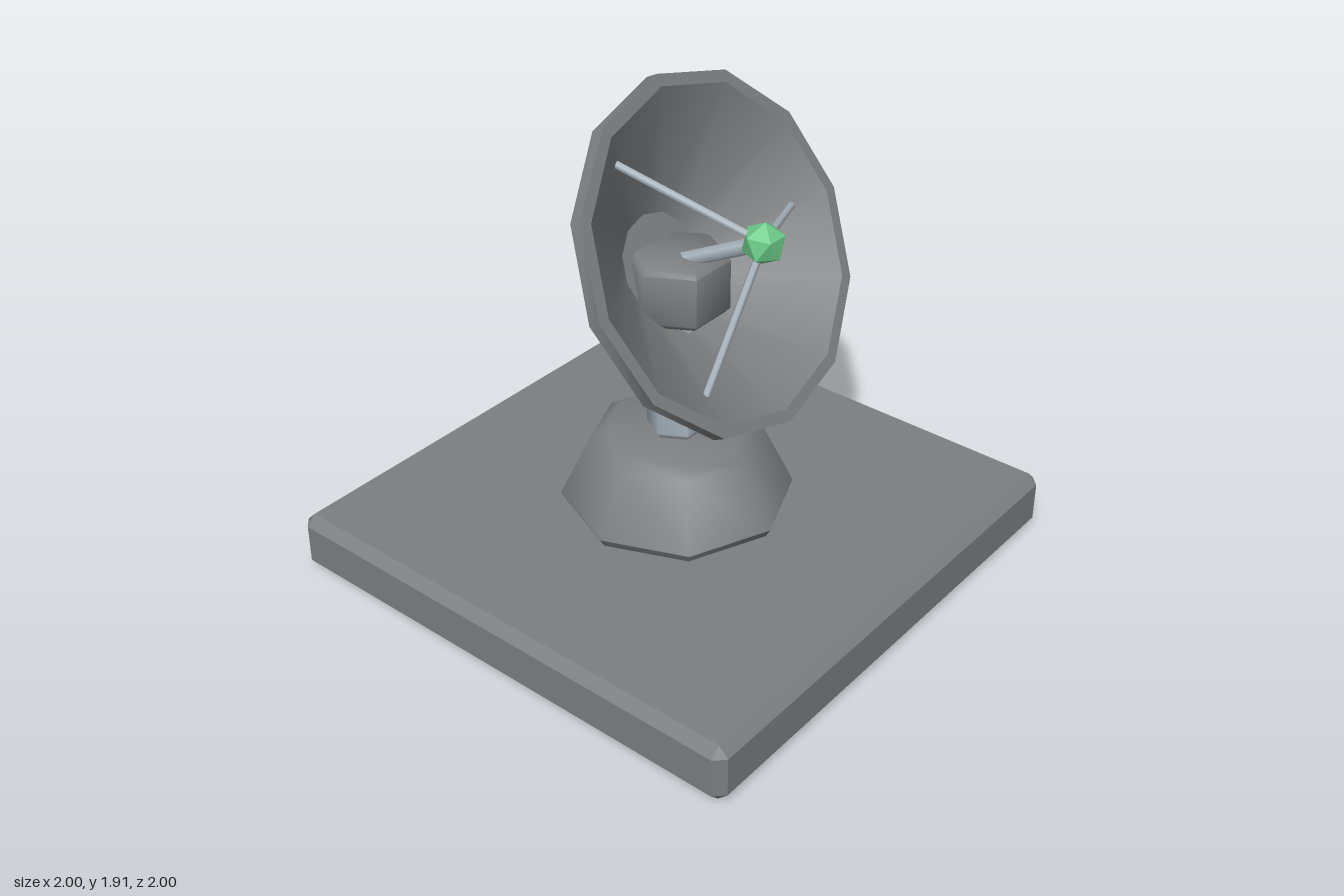
import * as THREE from 'three';
import { toCreasedNormals } from 'three/addons/utils/BufferGeometryUtils.js';
import { ConvexGeometry } from 'three/addons/geometries/ConvexGeometry.js';

const material = (name, color) => {
  const m = new THREE.MeshStandardMaterial({ color });
  m.name = name;
  return m;
};

// Box with every edge chamfered, standing on y = 0
function chamferedBox(w, h, d, c) {
  const points = [];
  for (const x of [-1, 1]) for (const y of [-1, 1]) for (const z of [-1, 1]) {
    for (let axis = 0; axis < 3; axis++) {
      const inset = [0, 1, 2].map(i => (i === axis ? 0 : c));
      points.push(new THREE.Vector3(
        x * (w / 2 - inset[0]), h / 2 + y * (h / 2 - inset[1]), z * (d / 2 - inset[2])));
    }
  }
  return new ConvexGeometry(points);
}

// Many-sided turned solid from [radius, height] pairs, lowest first
function turned(profile, sides, start, crease) {
  const points = profile.map(([r, y]) => new THREE.Vector2(r, y));
  return toCreasedNormals(new THREE.LatheGeometry(points, sides, start), crease);
}

// Straight rod between two points
function rod(from, to, radius, sides) {
  const geometry = new THREE.CylinderGeometry(radius, radius, from.distanceTo(to), sides);
  const direction = to.clone().sub(from).normalize();
  geometry.applyQuaternion(new THREE.Quaternion().setFromUnitVectors(new THREE.Vector3(0, 1, 0), direction));
  const mid = from.clone().lerp(to, 0.5);
  return geometry.translate(mid.x, mid.y, mid.z);
}

export function createModel() {
  const grey = material('dark grey', 0x7c7e80);
  const metal = material('pale metal', 0xb0bcc6);
  const green = material('green', 0x6cc988);

  const model = new THREE.Group();
  model.name = 'satelliteDish';
  const add = (parent, name, geometry, mat) => {
    const mesh = new THREE.Mesh(geometry, mat);
    mesh.name = name;
    parent.add(mesh);
    return mesh;
  };

  // Base slab, pedestal, mast and swivel head
  add(model, 'baseSlab', chamferedBox(2, 0.23, 2, 0.038), grey);
  add(model, 'pedestal', turned(
    [[0, 0.23], [0.42, 0.23], [0.44, 0.265], [0.325, 0.505], [0.27, 0.54], [0, 0.54]], 8, 0, 0.9), grey);
  add(model, 'mast', turned(
    [[0, 0.54], [0.103, 0.54], [0.115, 0.56], [0.115, 1.1], [0, 1.1]], 6, Math.PI / 6, 1.1), metal);
  add(model, 'swivelHead', turned(
    [[0, 1.04], [0.17, 1.04], [0.19, 1.06], [0.19, 1.25], [0.17, 1.27], [0, 1.27]], 6, Math.PI / 6, 1.1), grey);

  // Tilted dish assembly: local +y is the direction the dish points
  const dish = new THREE.Group();
  dish.name = 'dishAssembly';
  dish.position.set(0, 1.342, 0.21);
  dish.rotation.x = 1.087;
  model.add(dish);

  add(dish, 'dish', turned(
    [[0, -0.324], [0.19, -0.324], [0.645, -0.05], [0.645, 0], [0.6, 0], [0.19, -0.315], [0, -0.315]],
    12, 0, 0.6), grey);

  // Receiver on a central post with three struts
  const focus = new THREE.Vector3(0, 0.185, 0);
  add(dish, 'receiver', new THREE.IcosahedronGeometry(0.08, 0), green).position.copy(focus);
  add(dish, 'receiverPost', rod(new THREE.Vector3(0, -0.315, 0), focus, 0.028, 6), metal);
  for (let i = 0; i < 3; i++) {
    const a = (i * Math.PI * 2) / 3;
    const foot = new THREE.Vector3(0.49 * Math.cos(a), -0.088, 0.49 * Math.sin(a));
    add(dish, 'strut' + (i + 1), rod(foot, focus, 0.015, 6), metal);
  }
  return model;
}
